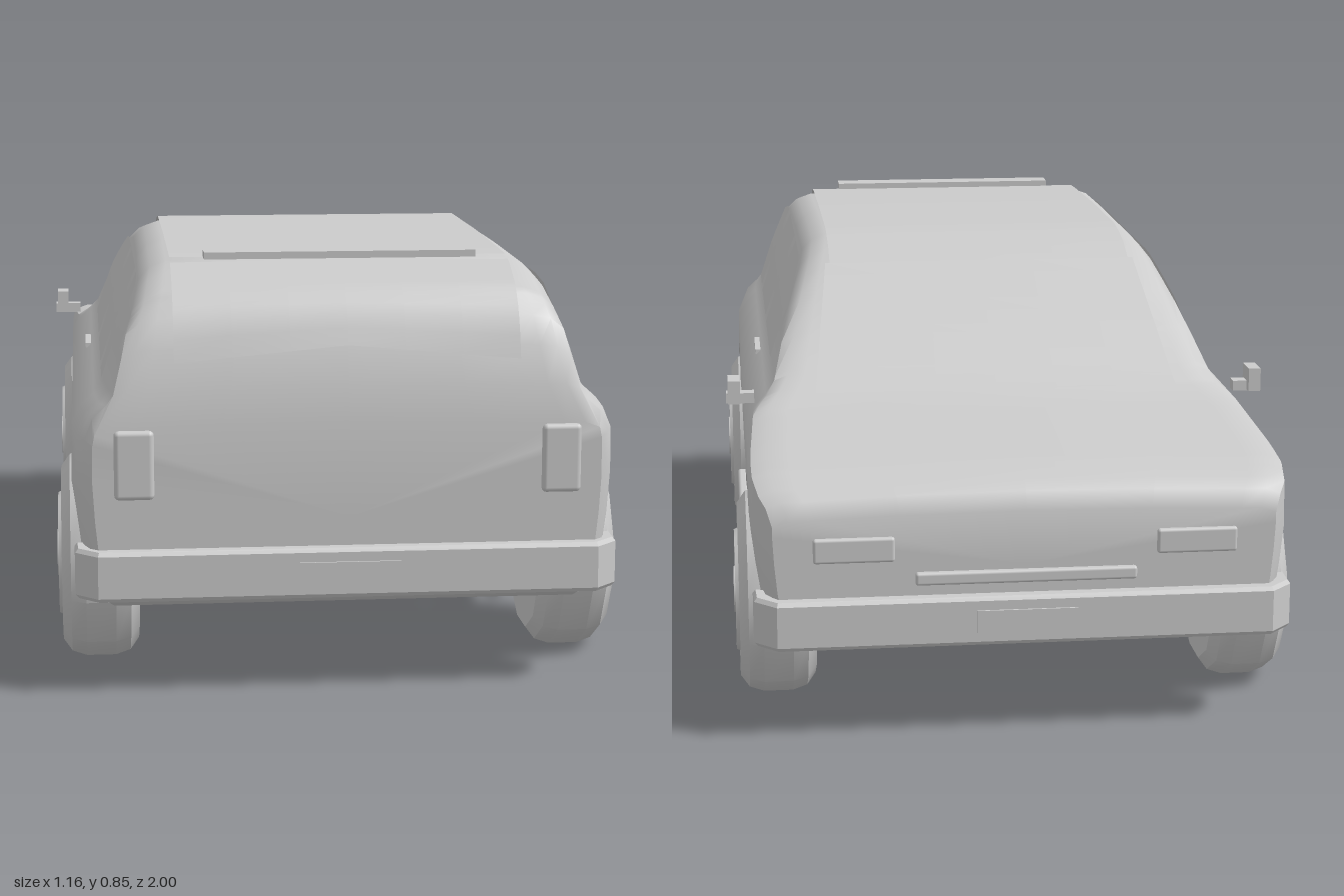
import * as THREE from 'three';
import { toCreasedNormals } from 'three/addons/utils/BufferGeometryUtils.js';
import { RoundedBoxGeometry } from 'three/addons/geometries/RoundedBoxGeometry.js';

const grey = new THREE.MeshStandardMaterial({ color: 0xcccccc });
const thin = new THREE.MeshStandardMaterial({ color: 0xcccccc, side: THREE.DoubleSide });
const AXLE = 0.64, WHEEL_R = 0.21, ARCH_R = 0.24;

// Piecewise linear lookup in a list of [key, value]
function lookup(table, k) {
  if (k <= table[0][0]) return table[0][1];
  for (let i = 1; i < table.length; i++) {
    const [a, va] = table[i - 1], [b, vb] = table[i];
    if (k <= b) return va + (vb - va) * (k - a) / (b - a);
  }
  return table[table.length - 1][1];
}

// Roof and hood line along z, half width by height, narrowing at both ends
const topLine = [[-0.97, 0.46], [-0.955, 0.495], [-0.93, 0.513], [-0.85, 0.532], [-0.65, 0.552], [-0.5, 0.567],
  [-0.45, 0.59], [-0.3, 0.69], [-0.13, 0.80], [-0.06, 0.832], [0.05, 0.849], [0.4, 0.847], [0.74, 0.838],
  [0.8, 0.825], [0.87, 0.79], [0.91, 0.745], [0.935, 0.69], [0.955, 0.615], [0.97, 0.54]];
const sideLine = [[0.16, 0.485], [0.2, 0.515], [0.28, 0.53], [0.4, 0.542], [0.51, 0.54], [0.55, 0.523],
  [0.575, 0.495], [0.6, 0.476], [0.7, 0.443], [0.8, 0.40], [0.84, 0.36]];
const taper = [[-0.97, 0.92], [-0.94, 0.965], [-0.85, 0.99], [-0.75, 1], [0.8, 1], [0.92, 0.98], [0.955, 0.955], [0.97, 0.925]];
const topAt = z => lookup(topLine, z);
const widthAt = y => lookup(sideLine, y);

function bottomAt(z) {
  const d = Math.abs(Math.abs(z) - AXLE);
  if (d <= ARCH_R + 1e-6) return WHEEL_R + Math.sqrt(Math.max(0, ARCH_R ** 2 - d * d));
  return Math.abs(z) > 0.9 ? 0.16 + (Math.abs(z) - 0.9) * 0.5 : 0.16;
}

// Half section from the bottom centre round to the top centre
function halfSection(z) {
  const yb = bottomAt(z), top = topAt(z), s = lookup(taper, z);
  const edge = top - Math.min(0.045, Math.max(0.02, (top - 0.5) * 0.15));
  const shoulder = Math.min(0.51, edge - 0.02);
  const pts = [[0, yb], [(widthAt(yb) - 0.02) * s, yb]];
  for (const f of [0.06, 0.25, 0.5, 0.75, 1]) {
    const y = yb + (shoulder - yb) * f;
    pts.push([widthAt(y) * s, y]);
  }
  for (const y of [0.55, 0.575, 0.6, 0.67, 0.74]) pts.push([widthAt(Math.min(y, edge)) * s, Math.min(y, edge)]);
  const we = widthAt(edge) * s;
  pts.push([we, edge], [we * 0.94, top - (top - edge) * 0.45], [we * 0.86, top - 0.009], [we * 0.5, top - 0.003], [0, top]);
  return pts;
}

function bodyGeometry() {
  const zs = topLine.map(p => p[0]).concat([-0.2, 0.2]);
  for (const c of [-AXLE, AXLE]) {
    zs.push(c - 0.246, c + 0.246);
    for (let i = 0; i <= 16; i++) zs.push(c + ARCH_R * Math.cos(Math.PI * i / 16));
  }
  zs.sort((a, b) => a - b);
  const pos = [], idx = [];
  let n = 0;
  for (const z of zs) {
    const half = halfSection(z);
    const ring = half.concat(half.slice(1, -1).reverse().map(([x, y]) => [-x, y]));
    n = ring.length;
    for (const [x, y] of ring) pos.push(x, y, z);
  }
  for (let i = 0; i < zs.length - 1; i++) for (let j = 0; j < n; j++) {
    const k = (j + 1) % n, a = i * n + j, b = i * n + k;
    idx.push(a, b, b + n, a, b + n, a + n);
  }
  // End caps
  const last = (zs.length - 1) * n, c0 = pos.length / 3;
  pos.push(0, 0.35, zs[0], 0, 0.35, zs[zs.length - 1]);
  for (let j = 0; j < n; j++) {
    const k = (j + 1) % n;
    idx.push(c0, k, j, c0 + 1, last + j, last + k);
  }
  const g = new THREE.BufferGeometry();
  g.setAttribute('position', new THREE.Float32BufferAttribute(pos, 3));
  g.setIndex(idx);
  return toCreasedNormals(g, 0.7);
}

// Curved sheet from a rule (u, v) -> [x, y, z]
function sheet(nu, nv, rule) {
  const g = new THREE.PlaneGeometry(1, 1, nu, nv), p = g.attributes.position;
  for (let i = 0; i < p.count; i++) p.setXYZ(i, ...rule(p.getX(i) + 0.5, p.getY(i) + 0.5));
  g.computeVertexNormals();
  return g;
}

function wheelGeometry() {
  const profile = [[0.001, -0.07], [0.13, -0.075], [0.18, -0.078], [0.205, -0.06], [0.215, -0.03], [0.215, 0.03],
    [0.205, 0.06], [0.18, 0.078], [0.13, 0.075], [0.125, 0.085], [0.05, 0.08], [0.048, 0.088], [0.001, 0.088]];
  const g = new THREE.LatheGeometry(profile.map(p => new THREE.Vector2(...p)), 12);
  g.rotateY(Math.PI / 12);
  g.rotateZ(-Math.PI / 2);
  return toCreasedNormals(g, 0.6);
}

export function createModel() {
  const car = new THREE.Group();
  car.name = 'car';
  const add = (name, geo, x = 0, y = 0, z = 0, mat = grey) => {
    const m = new THREE.Mesh(geo, mat);
    m.name = name;
    m.position.set(x, y, z);
    car.add(m);
    return m;
  };
  const box = (name, w, h, d, x, y, z, r = 0) =>
    add(name, r ? new RoundedBoxGeometry(w, h, d, 2, r) : new THREE.BoxGeometry(w, h, d), x, y, z);

  add('body', bodyGeometry());

  // Windscreen and rear window follow the roof line
  add('windscreen', sheet(6, 10, (u, v) => {
    const z = -0.47 + 0.34 * v;
    return [(u - 0.5) * 2 * (0.39 - 0.04 * v), topAt(z) + 0.005, z - 0.003];
  }), 0, 0, 0, thin);
  add('rearWindow', sheet(6, 12, (u, v) => {
    const side = Math.abs(u - 0.5) * 2, z = 0.945 - 0.008 * (1 - side) - 0.165 * v;
    return [(u - 0.5) * 0.68, topAt(z) + 0.003, z + 0.006];
  }), 0, 0, 0, thin);
  add('roofPanel', sheet(4, 14, (u, v) => {
    const z = 0.75 - 0.88 * v;
    return [(u - 0.5) * 0.68, topAt(z) + 0.003, z];
  }), 0, 0, 0, thin);

  const wheel = wheelGeometry();
  const panes = [[0.67, 0.8], [0.27, 0.6], [-0.19, 0.2]];
  for (const s of [-1, 1]) {
    // Side windows lean with the body side
    for (const [z0, z1] of panes) add('sideWindow', sheet(8, 6, (u, v) => {
      const z = z0 + (z1 - z0) * u;
      const y = 0.605 + (Math.min(0.8, topAt(z) - 0.04) - 0.605) * v;
      return [s * (widthAt(y) + 0.005), y, z];
    }), 0, 0, 0, thin);

    // Wheels
    for (const z of [-AXLE, AXLE]) {
      const w = add(z < 0 ? 'frontWheel' : 'rearWheel', wheel, s * 0.486, WHEEL_R, z);
      w.rotation.y = s < 0 ? Math.PI : 0;
    }

    // Door mirror, door handle, side step and lamps
    box('mirrorArm', 0.06, 0.022, 0.03, s * 0.55, 0.575, -0.44);
    box('mirror', 0.026, 0.05, 0.06, s * 0.563, 0.592, -0.445);
    box('doorHandle', 0.012, 0.01, 0.14, s * 0.503, 0.57, 0.09);
    box('sideStep', 0.024, 0.028, 0.74, s * 0.543, 0.18, 0, 0.008);
    box('tailLamp', 0.078, 0.137, 0.03, s * 0.42, 0.46, 0.965, 0.01);
    box('headlamp', 0.16, 0.05, 0.02, s * 0.34, 0.39, -0.97, 0.006);
  }

  // Bumpers with swept corners, and number plates
  for (const s of [-1, 1]) {
    const outline = [[0.49, 0.91], [0.532, 0.9], [0.53, 0.95], [0.49, 0.99]];
    const pts = outline.concat(outline.map(([x, z]) => [-x, z]).reverse());
    const shape = new THREE.Shape(pts.map(([x, z]) => new THREE.Vector2(x, z)));
    const g = new THREE.ExtrudeGeometry(shape, { depth: 0.084, bevelSize: 0.006, bevelThickness: 0.008, bevelSegments: 1 });
    g.rotateX(Math.PI / 2);
    const b = add(s < 0 ? 'frontBumper' : 'rearBumper', g, 0, 0.285);
    b.rotation.y = s < 0 ? Math.PI : 0;
    box('numberPlate', 0.2, 0.046, 0.01, 0, 0.243, s * 0.995);
  }

  box('grille', 0.44, 0.026, 0.02, 0, 0.328, -0.972, 0.006);
  box('rearSpoiler', 0.545, 0.014, 0.058, 0, 0.846, 0.77);
  return car;
}
